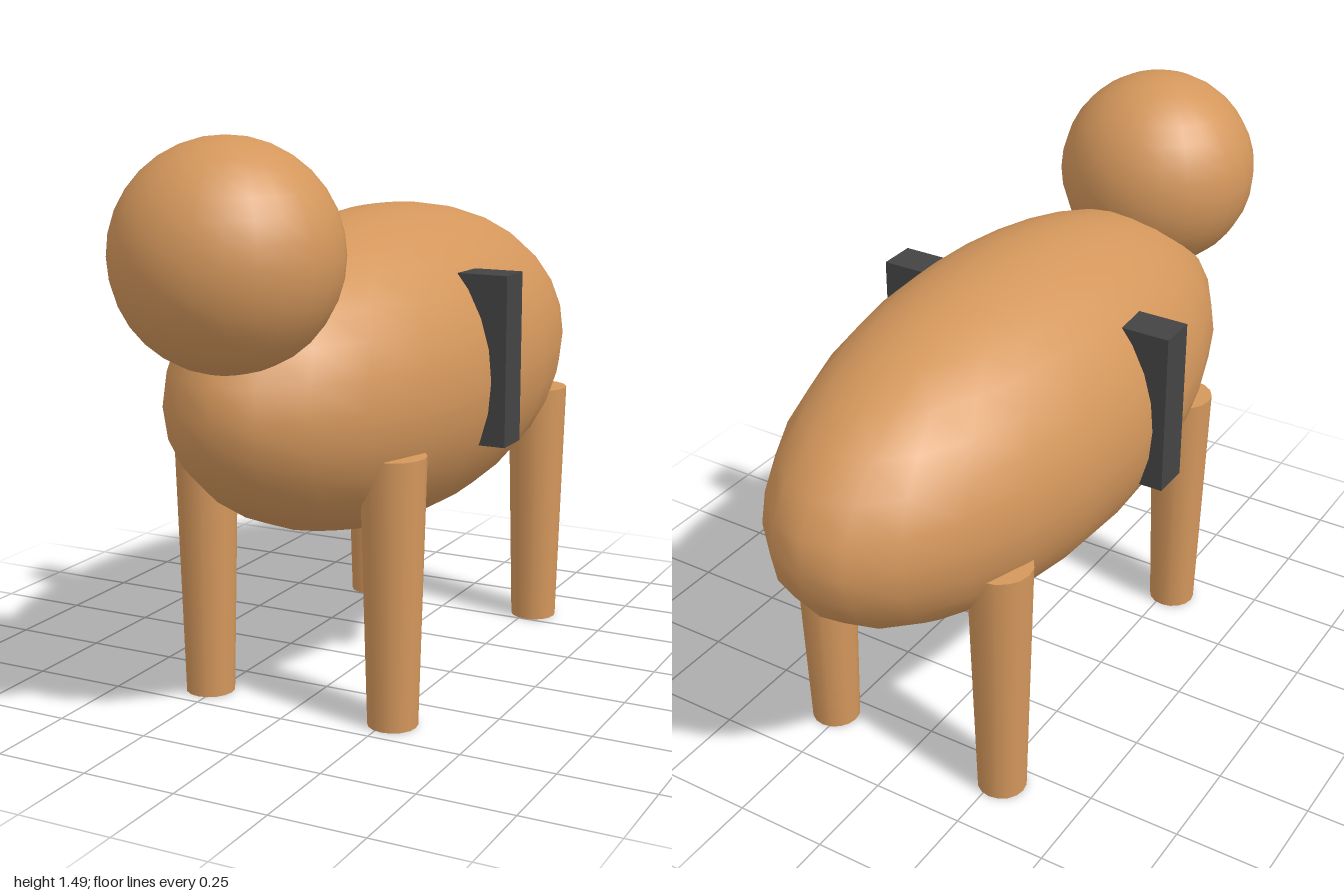
import * as THREE from 'three';

export function createModel() {
  const model = new THREE.Group();
  const tan = new THREE.MeshStandardMaterial({ color: 0xd4975c });
  tan.name = 'tan coat';
  const charcoal = new THREE.MeshStandardMaterial({ color: 0x444444 });
  charcoal.name = 'charcoal strap';

  function add(name, geometry, material, x, y, z) {
    const mesh = new THREE.Mesh(geometry, material);
    mesh.name = name;
    mesh.position.set(x, y, z);
    model.add(mesh);
    return mesh;
  }

  // Long egg-shaped body
  const body = add('body', new THREE.SphereGeometry(1, 24, 16), tan, 0, 0.835, -0.087);
  body.scale.set(0.4, 0.427, 0.913);

  // Round head, set high at the front
  add('head', new THREE.SphereGeometry(0.277, 24, 16), tan, 0, 1.213, 0.723);

  // Tapered legs
  const leg = new THREE.CylinderGeometry(0.084, 0.065, 0.7, 16);
  for (const [end, z] of [['front', 0.4], ['rear', -0.567]]) {
    for (const [side, x] of [['Left', 0.27], ['Right', -0.27]]) {
      add(end + side + 'Leg', leg, tan, x, 0.35, z);
    }
  }

  // Strap block passing through the body
  add('strap', new THREE.BoxGeometry(0.86, 0.447, 0.104), charcoal, 0, 0.889, 0.023);

  return model;
}
